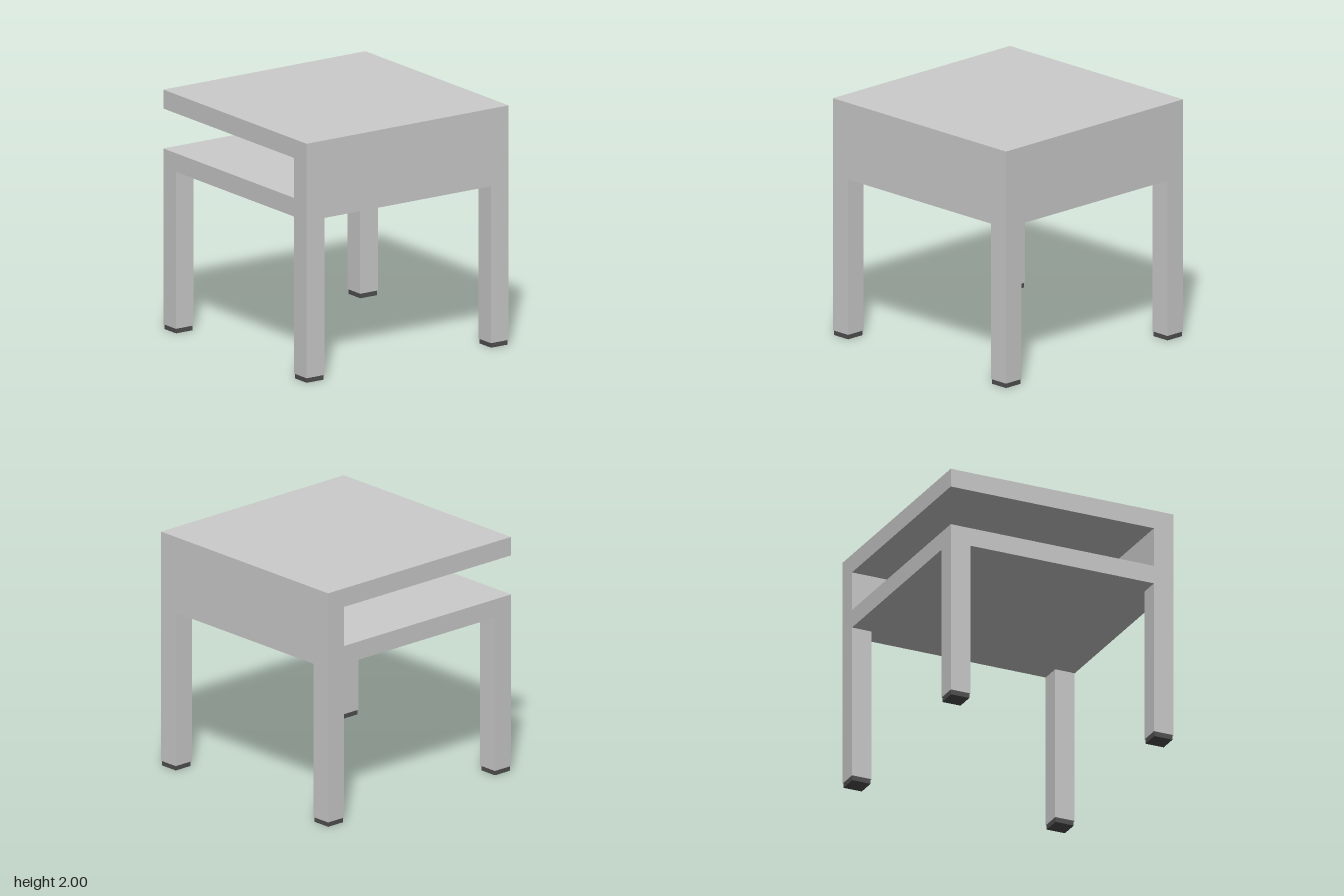
import * as THREE from 'three';

const HALF = 0.997;      // half width and depth
const LEG = 0.175;       // leg and wall thickness
const FOOT_TOP = 0.04, APRON = 1.352, SHELF = 1.508, TOP = 1.842, HEIGHT = 2;

export function createModel() {
  const group = new THREE.Group();
  group.name = 'sideTable';
  const grey = new THREE.MeshStandardMaterial({ color: 0xcccccc });
  const dark = new THREE.MeshStandardMaterial({ color: 0x505050 });

  // Box of square plan between two heights
  const block = (name, width, y0, y1, x, z, material) => {
    const mesh = new THREE.Mesh(new THREE.BoxGeometry(width, y1 - y0, width), material);
    mesh.position.set(x, (y0 + y1) / 2, z);
    mesh.name = name;
    group.add(mesh);
  };

  // Top board and the shelf below the open compartment
  block('tabletop', HALF * 2, TOP, HEIGHT, 0, 0, grey);
  block('shelf', HALF * 2, APRON, SHELF, 0, 0, grey);

  // L-shaped wall closing the back and the +x side of the compartment
  const inner = HALF - LEG;
  const plan = new THREE.Shape([
    [-HALF, HALF], [-HALF, inner], [inner, inner],
    [inner, -HALF], [HALF, -HALF], [HALF, HALF],
  ].map(([x, y]) => new THREE.Vector2(x, y)));
  const wallGeometry = new THREE.ExtrudeGeometry(plan, { depth: TOP - SHELF, bevelEnabled: false });
  wallGeometry.rotateX(-Math.PI / 2);
  const wall = new THREE.Mesh(wallGeometry, grey);
  wall.position.y = SHELF;
  wall.name = 'compartmentWall';
  group.add(wall);

  // Four square legs with slightly inset dark feet
  const offset = HALF - LEG / 2;
  for (const sx of [-1, 1]) {
    for (const sz of [-1, 1]) {
      const place = (sz > 0 ? 'front' : 'back') + (sx > 0 ? 'Left' : 'Right');
      block(place + 'Leg', LEG, FOOT_TOP, APRON, sx * offset, sz * offset, grey);
      block(place + 'Foot', LEG - 0.012, 0, FOOT_TOP, sx * offset, sz * offset, dark);
    }
  }
  return group;
}
